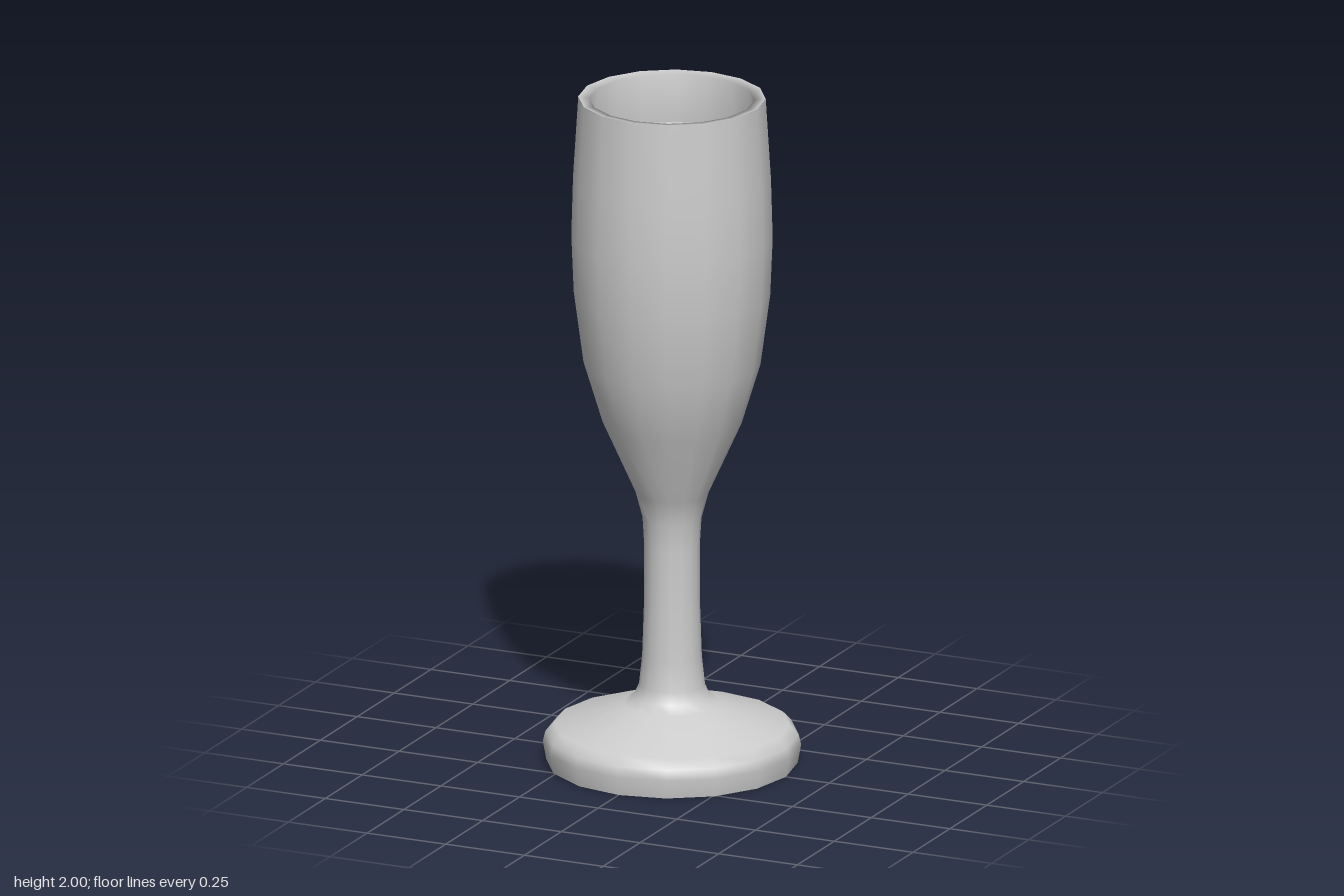
import * as THREE from 'three';

const SIDES = 16;

export function createModel() {
  const group = new THREE.Group();
  group.name = 'fluteGlass';
  const grey = new THREE.MeshStandardMaterial({ color: 0xcccccc });
  grey.name = 'light grey';

  const add = (name, geometry) => {
    const mesh = new THREE.Mesh(geometry, grey);
    mesh.name = name;
    group.add(mesh);
    return mesh;
  };
  // Turned part from [radius, height] pairs
  const turned = (name, profile) =>
    add(name, new THREE.LatheGeometry(profile.map(([r, y]) => new THREE.Vector2(r, y)), SIDES));
  // Flat disc facing up or down
  const disc = (name, radius, y, up) => {
    const geometry = new THREE.CircleGeometry(radius, SIDES);
    geometry.rotateX(up ? -Math.PI / 2 : Math.PI / 2);
    geometry.translate(0, y, 0);
    add(name, geometry);
  };

  // Foot, stem and bowl share one smooth outer profile
  turned('outerBody', [
    [0.362, 0], [0.372, 0.055], [0.365, 0.085], [0.34, 0.112],
    [0.14, 0.178], [0.11, 0.2], [0.095, 0.235], [0.086, 0.32],
    [0.08, 0.5], [0.08, 0.65], [0.085, 0.735], [0.105, 0.81],
    [0.2, 1.02], [0.255, 1.2], [0.283, 1.41], [0.29, 1.58],
    [0.285, 1.76], [0.27, 2],
  ]);
  disc('footUnderside', 0.362, 0, false);

  // Lip rolls over into the inner wall
  turned('rimAndInnerWall', [[0.27, 2], [0.237, 1.995], [0.245, 1.85]]);
  disc('drinkSurface', 0.245, 1.85, true);

  return group;
}
